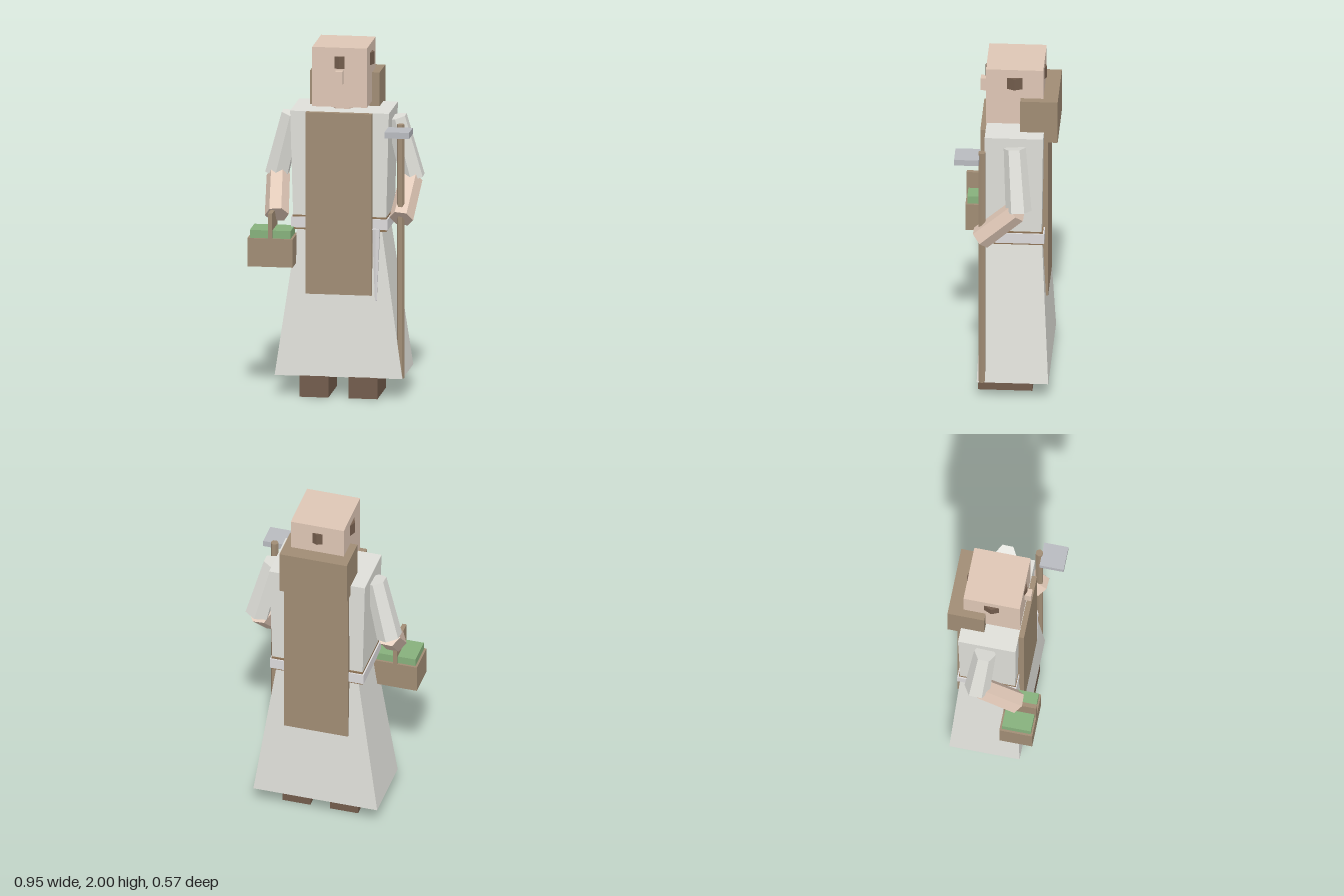
import * as THREE from 'three';

const mat = (name, color) => {
  const m = new THREE.MeshStandardMaterial({ color, flatShading: true });
  m.name = name;
  return m;
};

export function createModel() {
  const robe = mat('robe cloth', 0xdfdfd9);
  const rope = mat('belt cloth', 0xdcdadb);
  const skin = mat('skin', 0xdec6b5);
  const brown = mat('brown cloth and wicker', 0xa08c74);
  const dark = mat('dark leather', 0x725c4c);
  const wood = mat('wood', 0x8f7456);
  const green = mat('herbs', 0x86b07c);
  const steel = mat('steel', 0xb8babf);

  const model = new THREE.Group();
  const MID = 0.0225; // the body's own centre line

  const add = (name, geometry, material, parent = model) => {
    const mesh = new THREE.Mesh(geometry, material);
    mesh.name = name;
    parent.add(mesh);
    return mesh;
  };

  // Box given by its limits on each axis
  const box = (name, material, [x0, x1], [y0, y1], [z0, z1], parent) => {
    const g = new THREE.BoxGeometry(x1 - x0, y1 - y0, z1 - z0);
    g.translate((x0 + x1) / 2, (y0 + y1) / 2, (z0 + z1) / 2);
    return add(name, g, material, parent);
  };

  // Box whose top and bottom have their own half width and depth limits
  const taperedBox = (name, material, bottom, top) => {
    const g = new THREE.BoxGeometry(2, 2, 2);
    const p = g.attributes.position;
    for (let i = 0; i < p.count; i++) {
      const e = p.getY(i) > 0 ? top : bottom;
      p.setXYZ(i, MID + p.getX(i) * e.half, e.y, p.getZ(i) > 0 ? e.front : e.back);
    }
    g.computeVertexNormals();
    return add(name, g, material);
  };

  // Six-sided limb between two points
  const limb = (name, material, a, b, ra, rb, turn, parent) => {
    const from = new THREE.Vector3(...a), to = new THREE.Vector3(...b);
    const axis = from.clone().sub(to);
    const g = new THREE.CylinderGeometry(ra, rb, axis.length(), 6);
    g.rotateY(turn);
    const mesh = add(name, g, material, parent);
    mesh.position.copy(from).add(to).multiplyScalar(0.5);
    mesh.quaternion.setFromUnitVectors(new THREE.Vector3(0, 1, 0), axis.normalize());
    return mesh;
  };

  // Robe
  taperedBox('skirt', robe,
    { y: 0.12, half: 0.362, front: 0.16, back: -0.242 },
    { y: 0.96, half: 0.24, front: 0.118, back: -0.2 });
  taperedBox('torso', robe,
    { y: 0.96, half: 0.262, front: 0.115, back: -0.198 },
    { y: 1.63, half: 0.28, front: 0.12, back: -0.208 });

  // Belt with a darker edge and a hanging end
  box('beltEdge', wood, [MID - 0.266, MID + 0.266], [0.952, 1.034], [-0.206, 0.119]);
  box('belt', rope, [MID - 0.274, MID + 0.274], [0.963, 1.024], [-0.214, 0.124]);
  const tail = add('beltTail', new THREE.CylinderGeometry(0.024, 0.006, 0.41, 6), rope);
  tail.position.set(0.232, 0.765, 0.135);
  tail.rotation.x = -0.03;

  // Front and back panels, hood
  const panel = [MID - 0.187, MID + 0.187];
  box('frontPanel', brown, panel, [0.59, 1.63], [0.115, 0.15]);
  box('backPanel', brown, panel, [0.59, 1.6], [-0.231, -0.199]);
  box('hood', brown, [MID - 0.197, MID + 0.197], [1.568, 1.823], [-0.285, -0.075]);

  // Head
  box('head', skin, [MID - 0.155, MID + 0.155], [1.66, 2], [-0.202, 0.12]);
  box('nose', skin, [MID - 0.022, MID + 0.022], [1.795, 1.87], [0.11, 0.158]);
  const neck = add('neck', new THREE.CylinderGeometry(0.075, 0.075, 0.12, 6).rotateY(Math.PI / 6), skin);
  neck.position.set(MID, 1.63, -0.04);
  // Eight-sided band whose corners break through the faces of the head
  const band = add('eyeBand', new THREE.CylinderGeometry(0.173, 0.173, 0.07, 8), dark);
  band.position.set(MID, 1.915, -0.041);

  // Arms and feet
  for (const [side, s] of [['left', 1], ['right', -1]]) {
    const x = (d) => MID + s * d;
    limb(side + 'Sleeve', robe, [x(0.297), 1.58, -0.05], [x(0.385), 1.227, -0.077], 0.062, 0.073, 0, model);
    limb(side + 'Forearm', skin, [x(0.376), 1.222, -0.065], [x(0.353), 1.035, 0.138], 0.066, 0.068, Math.PI / 6, model);
    box(side + 'Foot', dark, [x(0.139) - 0.082, x(0.139) + 0.082], [0, 0.122], [-0.145, 0.16]);
  }

  // Long-handled hoe in the left hand
  const hoe = new THREE.Group();
  hoe.name = 'hoe';
  model.add(hoe);
  limb('hoeHandle', brown, [0.371, 1.575, 0.131], [0.371, 0.12, 0.131], 0.022, 0.022, Math.PI / 6, hoe);
  box('hoeBlade', steel, [0.303, 0.442], [1.525, 1.56], [0.145, 0.283], hoe);

  // Basket of herbs in the right hand
  const basket = new THREE.Group();
  basket.name = 'basket';
  model.add(basket);
  box('basketBody', brown, [-0.478, -0.222], [0.76, 0.922], [0.072, 0.26], basket);
  box('herbs', green, [-0.466, -0.235], [0.9, 0.967], [0.085, 0.25], basket);
  box('basketHandle', brown, [-0.362, -0.338], [0.9, 1.066], [0.072, 0.26], basket);

  return model;
}
